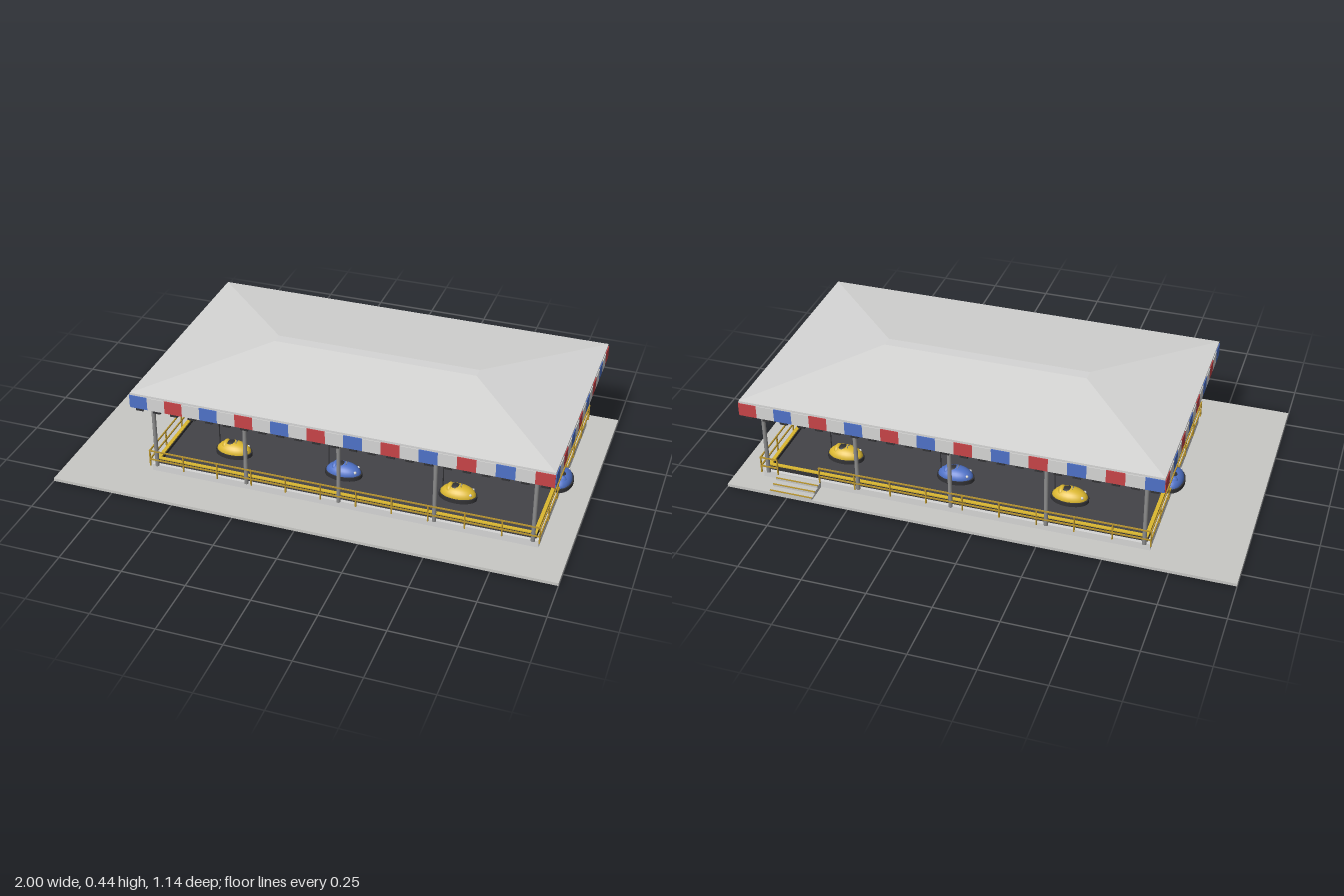
import * as THREE from 'three';

const mat = (name, color) => {
  const m = new THREE.MeshStandardMaterial({ color });
  m.name = name;
  return m;
};

export function createModel() {
  const concrete = mat('concrete', 0xc8c8c5);
  const canvas = mat('canvas white', 0xd6d6d5);
  const steel = mat('steel grey', 0x8c8c8c);
  const dark = mat('dark rubber', 0x333336);
  const floorMat = mat('floor charcoal', 0x434348);
  const yellow = mat('car yellow', 0xdcb830);
  const railMat = mat('railing yellow', 0xb8942e);
  const blue = mat('blue', 0x4f72c8);
  const red = mat('red', 0xc84448);

  const model = new THREE.Group();
  model.name = 'bumperCarPavilion';
  const hall = new THREE.Group();
  hall.name = 'hall';
  hall.position.set(0.113, 0, -0.045);
  model.add(hall);

  const add = (parent, name, geo, m, x = 0, y = 0, z = 0) => {
    const mesh = new THREE.Mesh(geo, m);
    mesh.name = name;
    mesh.position.set(x, y, z);
    parent.add(mesh);
    return mesh;
  };
  // box given by its size and the height of its underside
  const box = (parent, name, m, w, h, d, x, y, z) =>
    add(parent, name, new THREE.BoxGeometry(w, h, d), m, x, y + h / 2, z);
  // four boxes around a rectangle
  const ring = (name, m, hx, hz, t, y, h) => {
    for (const s of [-1, 1]) {
      box(hall, name, m, 2 * hx, h, t, 0, y, s * (hz - t / 2));
      box(hall, name, m, t, h, 2 * (hz - t), s * (hx - t / 2), y, 0);
    }
  };

  // ground slab, platform and driving floor
  box(model, 'groundSlab', concrete, 2, 0.012, 1.14, 0, 0, 0);
  box(hall, 'platform', canvas, 1.544, 0.028, 0.868, 0, 0.012, 0);
  box(hall, 'drivingFloor', floorMat, 1.52, 0.006, 0.84, 0, 0.04, 0);
  ring('curb', dark, 0.76, 0.42, 0.016, 0.04, 0.018);
  ring('curbStrip', yellow, 0.76, 0.42, 0.014, 0.058, 0.005);

  // entrance steps at the back
  for (let i = 0; i < 3; i++) {
    const z = -0.495 - i * 0.03, top = 0.036 - i * 0.008;
    box(model, 'step', concrete, 0.175, top - 0.012, 0.03, 0.733, 0.012, z);
    box(model, 'stepEdge', railMat, 0.175, 0.003, 0.005, 0.733, top, z - 0.0125);
  }

  // columns
  for (const z of [-0.437, 0.437])
    for (let i = -2; i <= 2; i++)
      add(hall, 'column', new THREE.CylinderGeometry(0.008, 0.008, 0.34, 12), steel, i * 0.375, 0.21, z);

  // railing run between two points: two bars and evenly spaced posts
  const railing = (x0, z0, x1, z1, n) => {
    const w = Math.abs(x1 - x0) + 0.005, d = Math.abs(z1 - z0) + 0.005;
    for (const y of [0.066, 0.105])
      box(hall, 'railBar', railMat, w, 0.005, d, (x0 + x1) / 2, y, (z0 + z1) / 2);
    for (let i = 0; i <= n; i++) {
      const t = i / n;
      box(hall, 'railPost', railMat, 0.005, 0.07, 0.005, x0 + (x1 - x0) * t, 0.039, z0 + (z1 - z0) * t);
    }
  };
  const RX = 0.776, RZ = 0.444;
  railing(-RX, RZ, RX, RZ, 11);
  railing(-RX, -RZ, 0.532, -RZ, 9);
  railing(0.707, -RZ, RX, -RZ, 1);
  railing(RX, -RZ, RX, RZ, 6);
  railing(-RX, -RZ, -RX, RZ, 6);

  // hipped roof with a narrow flat crown
  const HX = 0.822, HZ = 0.482;
  const rect = (hx, hz, y) => [[-hx, y, hz], [hx, y, hz], [hx, y, -hz], [-hx, y, -hz]];
  const low = rect(HX, HZ, 0.384), high = rect(0.41, 0.023, 0.44);
  const pos = [];
  const quad = (a, b, c, d) => pos.push(...a, ...b, ...c, ...a, ...c, ...d);
  for (let i = 0; i < 4; i++) {
    const j = (i + 1) % 4;
    quad(low[i], low[j], high[j], high[i]);
  }
  quad(...high);
  const roofGeo = new THREE.BufferGeometry();
  roofGeo.setAttribute('position', new THREE.Float32BufferAttribute(pos, 3));
  roofGeo.computeVertexNormals();
  add(hall, 'roof', roofGeo, canvas);
  box(hall, 'eave', canvas, 2 * HX, 0.01, 2 * HZ, 0, 0.374, 0);

  // ceiling beams
  for (let i = -2; i <= 2; i++)
    box(hall, 'crossBeam', steel, 0.012, 0.012, 0.95, i * 0.375, 0.362, 0);
  for (const z of [-0.437, -0.15, 0.15, 0.437])
    box(hall, 'longBeam', steel, 1.62, 0.01, 0.012, 0, 0.364, z);

  // striped valance with a hanging lamp under each panel
  const stripe = (i) => [blue, canvas, red, canvas][i % 4];
  for (const s of [-1, 1]) {
    const a = (2 * HX) / 23, b = (2 * HZ) / 15;
    for (let i = 0; i < 23; i++) {
      const x = -HX + (i + 0.5) * a;
      box(hall, 'valancePanel', stripe(i), a, 0.053, 0.006, x, 0.322, s * HZ);
      box(hall, 'valanceLamp', dark, 0.03, 0.012, 0.01, x, 0.31, s * (HZ - 0.006));
    }
    for (let i = 0; i < 15; i++) {
      const z = HZ - (i + 0.5) * b;
      box(hall, 'valancePanel', stripe(i), 0.006, 0.053, b, s * HX, 0.322, z);
      box(hall, 'valanceLamp', dark, 0.01, 0.012, 0.03, s * (HX - 0.006), 0.31, z);
    }
  }

  // bumper car, heading +x, with its current pole at the rear
  const dome = new THREE.SphereGeometry(1, 24, 8, 0, Math.PI * 2, 0, Math.PI / 2);
  const disc = new THREE.CylinderGeometry(1, 1, 1, 24);
  const makeCar = (paint) => {
    const car = new THREE.Group();
    car.name = 'bumperCar';
    add(car, 'bumper', disc, dark, 0, 0.055, 0).scale.set(0.075, 0.016, 0.048);
    add(car, 'body', dome, paint, 0, 0.062, 0).scale.set(0.07, 0.038, 0.043);
    add(car, 'cockpit', dome, dark, -0.008, 0.084, 0).scale.set(0.03, 0.017, 0.026);
    add(car, 'seatBack', dome, paint, -0.032, 0.082, 0).scale.set(0.014, 0.02, 0.027);
    const wheel = add(car, 'steeringWheel', new THREE.TorusGeometry(0.008, 0.0015, 6, 14), steel, 0.012, 0.1, 0);
    wheel.rotation.y = Math.PI / 2;
    for (const z of [-0.02, 0.02])
      add(car, 'headlight', new THREE.SphereGeometry(0.006, 10, 8), canvas, 0.053, 0.077, z);
    add(car, 'currentPole', new THREE.CylinderGeometry(0.0022, 0.0022, 0.31, 6), dark, -0.06, 0.219, 0);
    return car;
  };

  // four cars, repeated by half a turn around the hall
  for (const turn of [0, Math.PI]) {
    const half = new THREE.Group();
    half.name = 'carRow';
    half.rotation.y = turn;
    hall.add(half);
    for (const [paint, x, z, angle] of [
      [yellow, -0.495, 0.267, 0],
      [blue, -0.038, 0.267, 0],
      [yellow, 0.42, 0.267, 0],
      [blue, 0.768, 0.046, Math.PI / 2],
    ]) {
      const car = makeCar(paint);
      car.position.set(x, 0, z);
      car.rotation.y = angle;
      half.add(car);
    }
  }
  return model;
}
